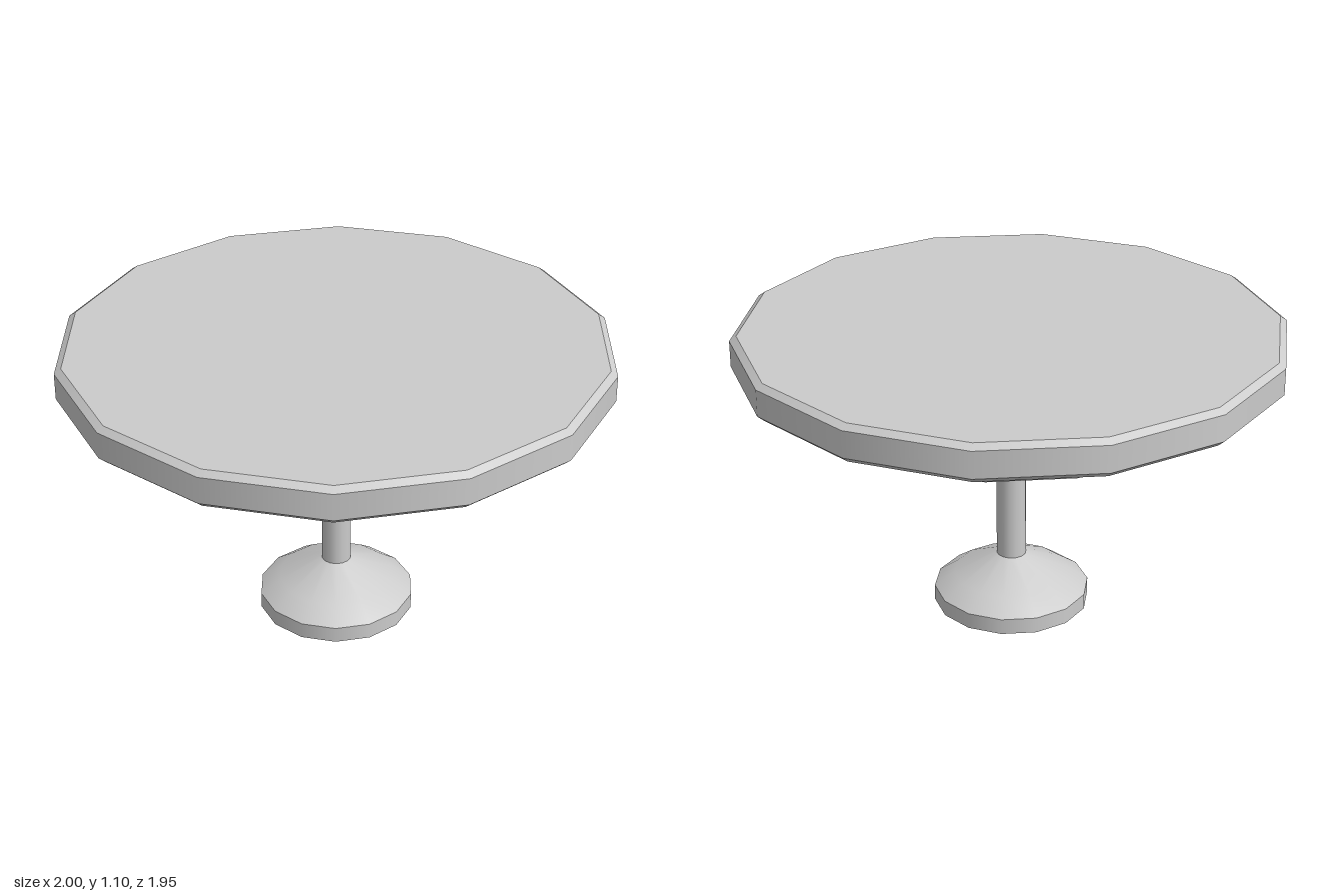
import * as THREE from 'three';
import { mergeGeometries } from 'three/addons/utils/BufferGeometryUtils.js';

const SIDES = 14;

// Each band is a smooth run of [radius, y] points, listed bottom to top on the outside;
// edges between bands stay sharp.
function turned(name, material, bands) {
  const parts = bands.map(band => new THREE.LatheGeometry(
    band.map(([r, y]) => new THREE.Vector2(r, y)), SIDES, Math.PI / 2));
  const mesh = new THREE.Mesh(mergeGeometries(parts), material);
  mesh.name = name;
  return mesh;
}

export function createModel() {
  const solid = new THREE.MeshStandardMaterial({ color: 0xcccccc });
  const shell = new THREE.MeshStandardMaterial({ color: 0xcccccc, side: THREE.DoubleSide });
  const group = new THREE.Group();
  group.name = 'pedestalTable';

  // Round top with chamfered upper and lower rims
  group.add(turned('tableTop', solid, [
    [[0, 0.965], [0.975, 0.965]],
    [[0.975, 0.965], [1, 0.987]],
    [[1, 0.987], [1, 1.085]],
    [[1, 1.085], [0.975, 1.103]],
    [[0.975, 1.103], [0, 1.103]],
  ]));

  // Tapered apron beneath the top
  group.add(turned('apron', solid, [
    [[0, 0.825], [0.695, 0.825]],
    [[0.695, 0.825], [0.738, 0.965]],
  ]));

  // Slim central post
  group.add(turned('post', shell, [[[0.055, 0.19], [0.055, 0.825]]]));

  // Hollow flared foot, open underneath
  group.add(turned('foot', shell, [
    [[0.29, 0], [0.29, 0.06]],
    [[0.29, 0.06], [0.215, 0.113], [0.055, 0.19]],
  ]));

  return group;
}
